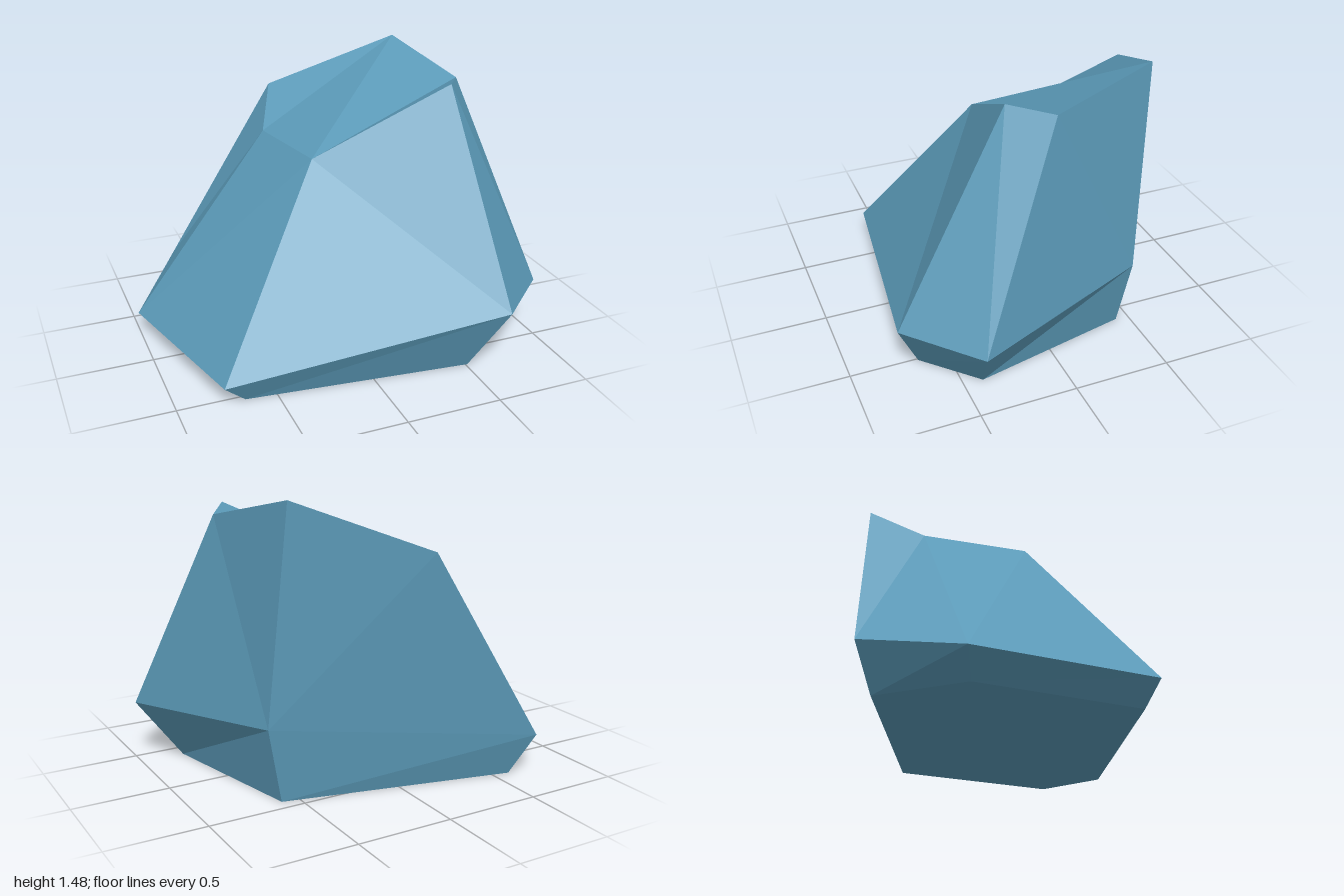
import * as THREE from 'three';

export function createModel() {
  const stone = new THREE.MeshStandardMaterial({ color: 0x5b9ab8 });
  stone.name = 'blue stone';
  stone.flatShading = true;

  // Three rings of six corners, counter-clockwise seen from above
  const base = [[-0.59, 0, -0.7], [-0.85, 0, -0.3], [-0.66, 0, 0.53], [0.51, 0, 0.65], [0.77, 0, 0.4], [0.59, 0, -0.43]];
  const shoulder = [[-0.69, 0.22, -0.79], [-1, 0.105, -0.34], [-0.775, 0.11, 0.575], [0.67, 0.335, 0.79], [1, 0.315, 0.465], [0.67, 0.39, -0.46]];
  const crown = [[-0.09, 1.21, -0.725], [-0.22, 1.03, -0.45], [-0.14, 1.04, 0.1], [0.58, 1.385, 0.21], [0.715, 1.355, 0.01], [0.59, 1.475, -0.53]];

  const points = [];
  const face = (...corners) => corners.forEach((c) => points.push(...c));

  // Facets between two rings; the listed sides are split along the other diagonal
  const band = (low, high, flipped = []) => {
    for (let i = 0; i < 6; i++) {
      const j = (i + 1) % 6;
      if (flipped.includes(i)) {
        face(low[i], low[j], high[i]);
        face(low[j], high[j], high[i]);
      } else {
        face(low[i], low[j], high[j]);
        face(low[i], high[j], high[i]);
      }
    }
  };
  band(base, shoulder);
  band(shoulder, crown, [2, 3, 4]);

  // Flat underside
  for (let i = 1; i < 5; i++) face(base[0], base[i + 1], base[i]);

  // Sloping top facets
  for (const [a, b, c] of [[2, 3, 4], [2, 4, 5], [2, 5, 1], [1, 5, 0]]) face(crown[a], crown[b], crown[c]);

  const geometry = new THREE.BufferGeometry();
  geometry.setAttribute('position', new THREE.Float32BufferAttribute(points, 3));
  geometry.computeVertexNormals();

  const rock = new THREE.Mesh(geometry, stone);
  rock.name = 'rock';
  const group = new THREE.Group();
  group.name = 'facetedRock';
  group.add(rock);
  return group;
}
